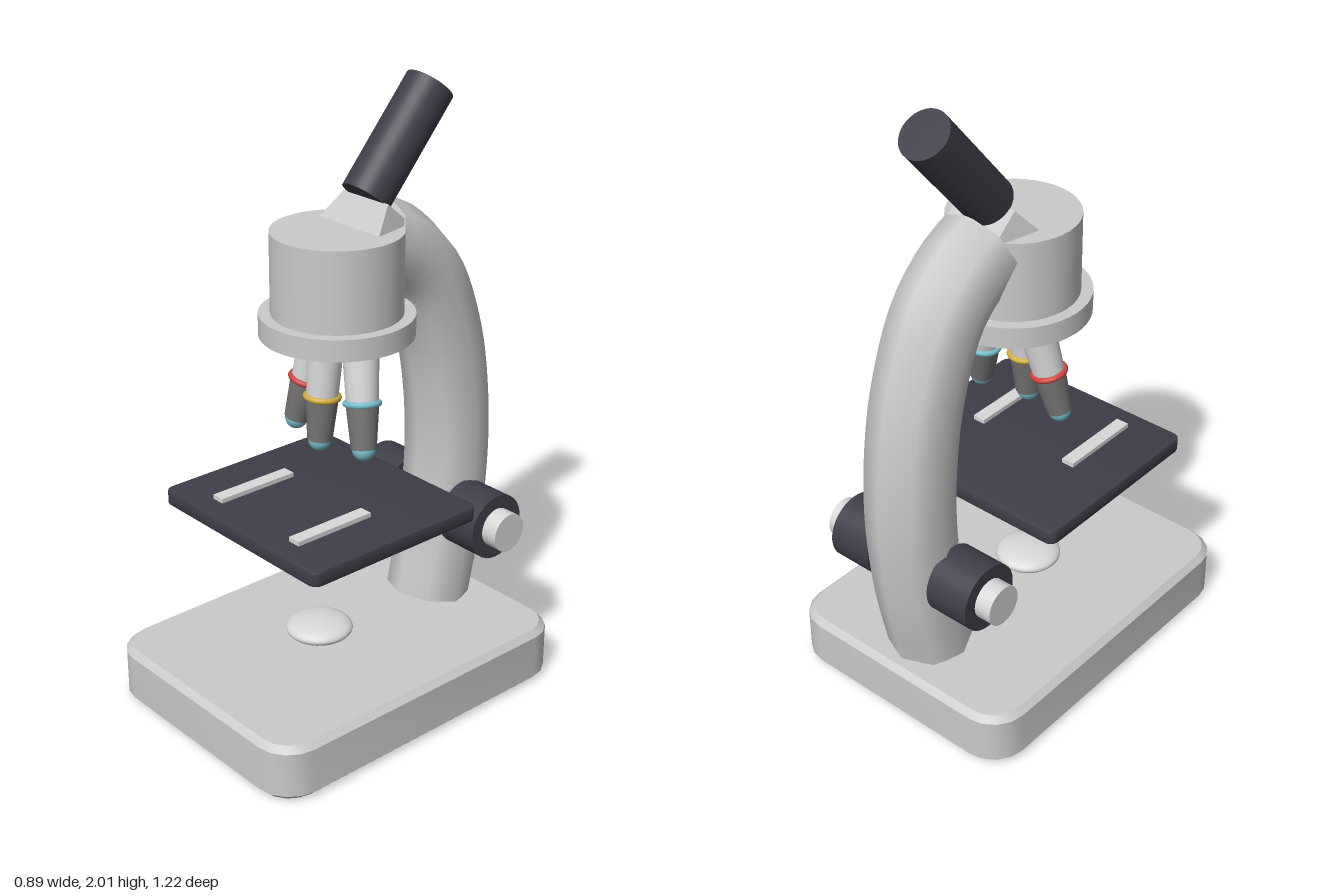
import * as THREE from 'three';
import { toCreasedNormals } from 'three/addons/utils/BufferGeometryUtils.js';

const material = (name, color) => {
  const m = new THREE.MeshStandardMaterial({ color });
  m.name = name;
  return m;
};

// Rectangle with rounded corners, centred on the origin
function roundedRect(w, d, r) {
  const s = new THREE.Shape();
  const x = w / 2, y = d / 2, q = Math.PI / 2;
  s.absarc(x - r, y - r, r, 0, q);
  s.absarc(-x + r, y - r, r, q, 2 * q);
  s.absarc(-x + r, -y + r, r, 2 * q, 3 * q);
  s.absarc(x - r, -y + r, r, 3 * q, 4 * q);
  s.closePath();
  return s;
}

// Horizontal slab with bevelled edges, standing on y = 0
function slab(w, d, h, r, bevel, curveSegments, bevelSegments) {
  const g = new THREE.ExtrudeGeometry(roundedRect(w - 2 * bevel, d - 2 * bevel, r), {
    depth: h - 2 * bevel, bevelEnabled: true, bevelThickness: bevel, bevelSize: bevel,
    bevelSegments, curveSegments,
  });
  g.rotateX(-Math.PI / 2);
  g.translate(0, bevel, 0);
  return toCreasedNormals(g, 0.4);
}

export function createModel() {
  const model = new THREE.Group();
  model.name = 'microscope';

  const grey = material('light grey enamel', 0xcacaca);
  const dark = material('charcoal', 0x3e3e49);
  const silver = material('silver', 0xd8d8d8);
  const steel = material('dark steel', 0x747474);
  const red = material('red ring', 0xd0453f);
  const yellow = material('yellow ring', 0xd0b03a);
  const cyan = material('cyan glass', 0x74bfce);

  const add = (name, geometry, mat, x = 0, y = 0, z = 0, parent = model) => {
    const mesh = new THREE.Mesh(geometry, mat);
    mesh.name = name;
    mesh.position.set(x, y, z);
    parent.add(mesh);
    return mesh;
  };

  // Base and lamp
  add('base', slab(0.89, 1.195, 0.19, 0.1, 0.02, 2, 1), grey, 0, 0, 0.012);
  add('lamp', new THREE.SphereGeometry(0.11, 32, 16), silver, 0, 0.235, 0.093).scale.y = 0.32;

  // Curved arm
  const path = new THREE.CatmullRomCurve3([
    [0.2, -0.397], [0.45, -0.447], [0.72, -0.47], [0.95, -0.457], [1.16, -0.415],
    [1.37, -0.325], [1.475, -0.215], [1.515, -0.13],
  ].map(([y, z]) => new THREE.Vector3(0, y, z)));
  add('arm', new THREE.TubeGeometry(path, 32, 0.14, 8), grey);
  [0, 1].forEach((t) => {
    const p = path.getPointAt(t);
    const out = path.getTangentAt(t).multiplyScalar(t ? 1 : -1);
    const cap = add('armEnd', new THREE.CircleGeometry(0.14, 8), grey, p.x, p.y, p.z);
    cap.quaternion.setFromUnitVectors(new THREE.Vector3(0, 0, 1), out);
  });

  // Head and revolving nosepiece
  add('head', new THREE.CylinderGeometry(0.205, 0.205, 0.275, 48), grey, 0, 1.4375, 0.015);
  add('nosepiece', new THREE.CylinderGeometry(0.242, 0.242, 0.07, 48), grey, 0, 1.28, 0.015);

  // Eyepiece tube with a flared neck, both leaning back
  const eyepiece = new THREE.Group();
  eyepiece.name = 'eyepieceAssembly';
  eyepiece.position.set(0, 1.652, -0.098);
  eyepiece.rotation.x = -0.71;
  model.add(eyepiece);
  add('eyepiece', new THREE.CylinderGeometry(0.08, 0.08, 0.4, 32), dark, 0, 0.2, 0, eyepiece);
  const neck = new THREE.BoxGeometry(2, 0.16, 0.12);
  const np = neck.attributes.position;
  for (let i = 0; i < np.count; i++) {
    np.setX(i, np.getX(i) * (np.getY(i) > 0 ? 0.1 : 0.155));
  }
  neck.computeVertexNormals();
  add('neck', neck, grey, 0, -0.078, -0.06, eyepiece);

  // Objectives: barrel, colour ring, lower barrel and glass tip along a tilted axis
  const objective = (top, tip, ringColour) => {
    const a = new THREE.Vector3(...top), b = new THREE.Vector3(...tip);
    const g = new THREE.Group();
    g.name = 'objective';
    g.position.copy(a);
    g.quaternion.setFromUnitVectors(new THREE.Vector3(0, -1, 0), b.sub(a).normalize());
    model.add(g);
    add('upperBarrel', new THREE.CylinderGeometry(0.06, 0.05, 0.22, 24), silver, 0, -0.09, 0, g);
    add('ring', new THREE.TorusGeometry(0.051, 0.01, 10, 32).rotateX(Math.PI / 2), ringColour, 0, -0.2, 0, g);
    add('lowerBarrel', new THREE.CylinderGeometry(0.052, 0.04, 0.142, 24), steel, 0, -0.271, 0, g);
    add('lens', new THREE.SphereGeometry(0.037, 24, 14), cyan, 0, -0.343, 0, g);
  };
  objective([0, 1.25, 0.06], [0, 0.87, 0.09], yellow);
  objective([-0.09, 1.25, 0], [-0.17, 0.875, 0.053], red);
  objective([0.09, 1.25, 0], [0.17, 0.875, 0.053], cyan);

  // Stage
  add('stage', slab(0.744, 0.67, 0.05, 0.025, 0.006, 6, 2), dark, 0, 0.657, 0.09);

  // Clips and focus knobs, mirrored
  for (const s of [-1, 1]) {
    add('stageClip', new THREE.BoxGeometry(0.045, 0.016, 0.29), silver, s * 0.187, 0.714, 0.205);
    const knob = (r, w) => new THREE.CylinderGeometry(r, r, w, 32).rotateZ(Math.PI / 2);
    add('focusKnob', knob(0.111, 0.155), dark, s * 0.2025, 0.53, -0.432);
    add('fineKnob', knob(0.066, 0.08), silver, s * 0.298, 0.53, -0.432);
  }

  return model;
}
